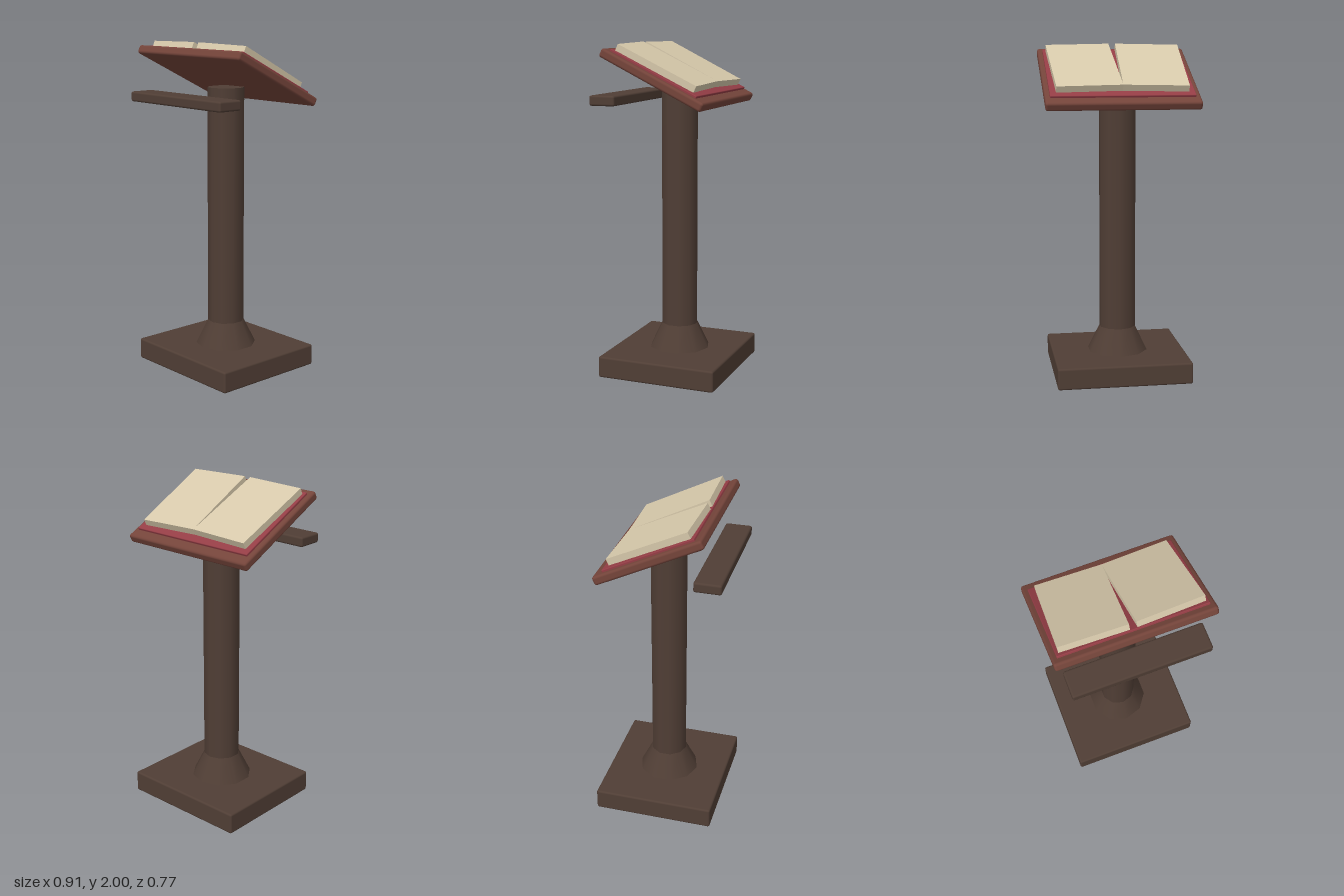
import * as THREE from 'three';
import { RoundedBoxGeometry } from 'three/addons/geometries/RoundedBoxGeometry.js';

const material = (color) => new THREE.MeshStandardMaterial({ color });

export function createModel() {
  const model = new THREE.Group();
  model.name = 'lectern';

  const darkWood = material(0x503e35);
  const redWood = material(0x74443a);
  const leather = material(0x943d45);
  const paper = material(0xd6c8aa);

  function add(parent, name, geometry, mat, x, y, z) {
    const mesh = new THREE.Mesh(geometry, mat);
    mesh.name = name;
    mesh.position.set(x, y, z);
    parent.add(mesh);
    return mesh;
  }
  const block = (w, h, d, r) => new RoundedBoxGeometry(w, h, d, 2, r);

  // Plinth, flared foot and ten-sided column
  add(model, 'base', block(0.81, 0.13, 0.735, 0.012), darkWood, 0, 0.065, -0.018);
  add(model, 'columnFoot', new THREE.CylinderGeometry(0.111, 0.185, 0.15, 10), darkWood, 0, 0.205, -0.02);
  add(model, 'column', new THREE.CylinderGeometry(0.111, 0.111, 1.45, 10), darkWood, 0, 1.005, -0.02);

  // Separate shelf bar in front of the column
  add(model, 'ledge', block(0.81, 0.06, 0.16, 0.012), darkWood, 0, 1.67, 0.306);

  // Sloping desk: local z runs up the slope, local y is its normal
  const desk = new THREE.Group();
  desk.name = 'desk';
  desk.position.set(0, 1.8, -0.02);
  desk.rotation.x = -0.454;
  model.add(desk);
  add(desk, 'board', block(0.91, 0.054, 0.684, 0.015), redWood, 0, 0, 0);

  // Open book: cover and two page blocks splayed from the low end
  add(desk, 'bookCover', block(0.85, 0.025, 0.58, 0.005), leather, 0, 0.028, 0.011);
  for (const side of [-1, 1]) {
    const name = side > 0 ? 'leftPages' : 'rightPages';
    const pages = add(desk, name, new THREE.BoxGeometry(0.388, 0.041, 0.52), paper, side * 0.204, 0.06, 0.027);
    pages.rotation.y = side * 0.04;
  }

  return model;
}
